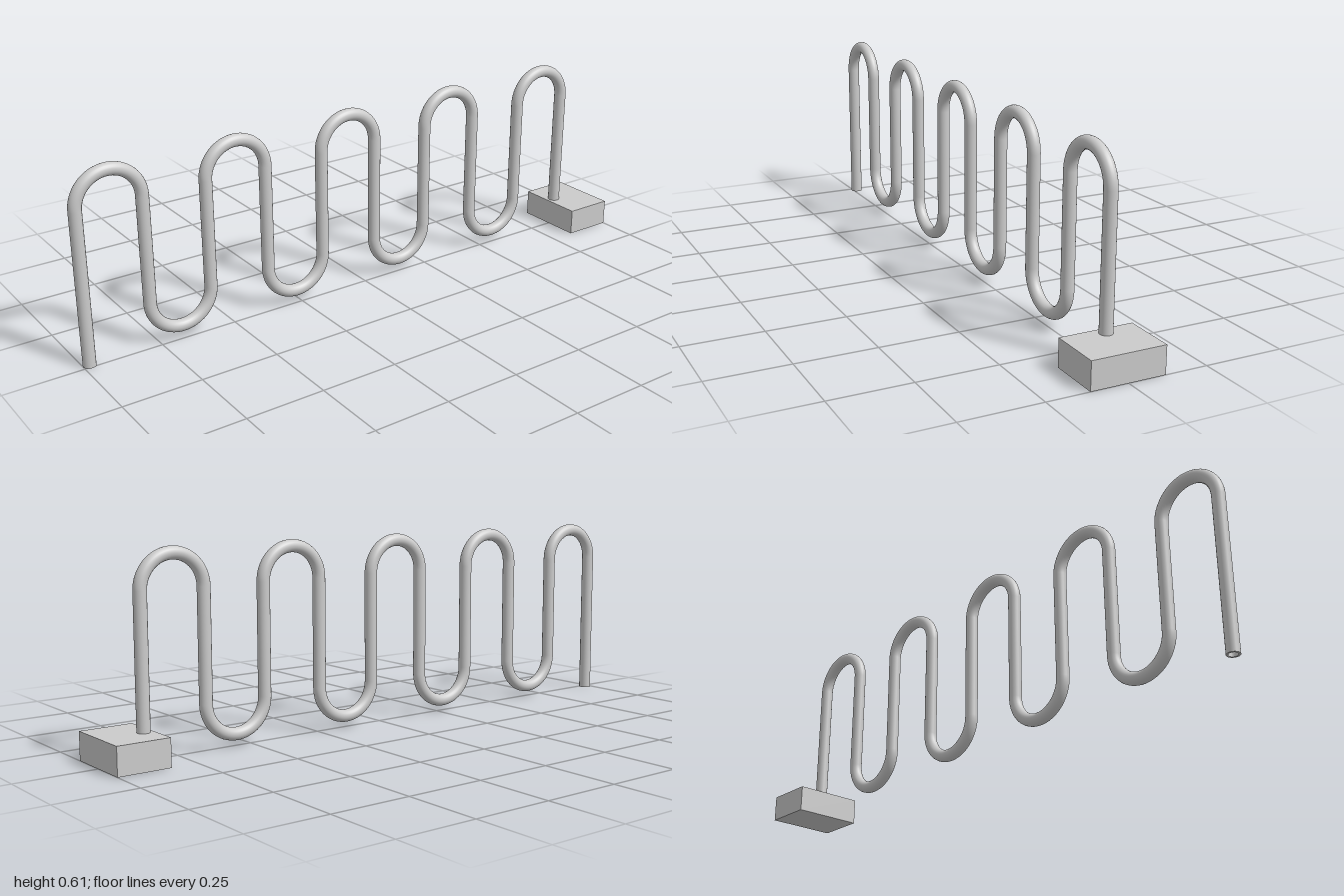
import * as THREE from 'three';

const material = new THREE.MeshStandardMaterial({ color: 0xcccccc });
const openMaterial = new THREE.MeshStandardMaterial({ color: 0xcccccc, side: THREE.DoubleSide });

const PIPE_R = 0.02, BORE_R = 0.014, PIPE_Z = -0.013;
const LEGS = 10, FIRST_X = -0.98, PITCH = 0.2049;
const BEND_R = PITCH / 2, LOW_Y = 0.142, HIGH_Y = 0.49;
const SIDES = 24;

function add(group, name, geometry, x, y, z, mat = material) {
  const mesh = new THREE.Mesh(geometry, mat);
  mesh.name = name;
  mesh.position.set(x, y, z);
  group.add(mesh);
  return mesh;
}

export function createModel() {
  const model = new THREE.Group();
  model.name = 'serpentineRack';

  const pipe = new THREE.Group();
  pipe.name = 'serpentinePipe';
  model.add(pipe);

  for (let i = 0; i < LEGS; i++) {
    const x = FIRST_X + i * PITCH;

    // Straight legs; the two end legs run down to the ground and into the base
    const bottom = i === 0 ? 0 : i === LEGS - 1 ? 0.03 : LOW_Y;
    const length = HIGH_Y - bottom;
    add(pipe, 'straightLeg',
      new THREE.CylinderGeometry(PIPE_R, PIPE_R, length, SIDES, 1, true),
      x, bottom + length / 2, PIPE_Z);

    // Half-circle bends, alternately above and below
    if (i < LEGS - 1) {
      const top = i % 2 === 0;
      const bend = add(pipe, top ? 'topBend' : 'bottomBend',
        new THREE.TorusGeometry(BEND_R, PIPE_R, SIDES, 32, Math.PI),
        x + BEND_R, top ? HIGH_Y : LOW_Y, PIPE_Z);
      if (!top) bend.rotation.z = Math.PI;
    }
  }

  // Open free end: rim and bore of the first leg
  const rim = add(pipe, 'pipeRim', new THREE.RingGeometry(BORE_R, PIPE_R, SIDES),
    FIRST_X, 0, PIPE_Z, openMaterial);
  rim.rotation.x = Math.PI / 2;
  add(pipe, 'pipeBore',
    new THREE.CylinderGeometry(BORE_R, BORE_R, HIGH_Y, SIDES, 1, true),
    FIRST_X, HIGH_Y / 2, PIPE_Z, openMaterial);

  // Block at the other end
  add(model, 'baseBlock', new THREE.BoxGeometry(0.166, 0.087, 0.234), 0.917, 0.0435, 0);

  return model;
}
